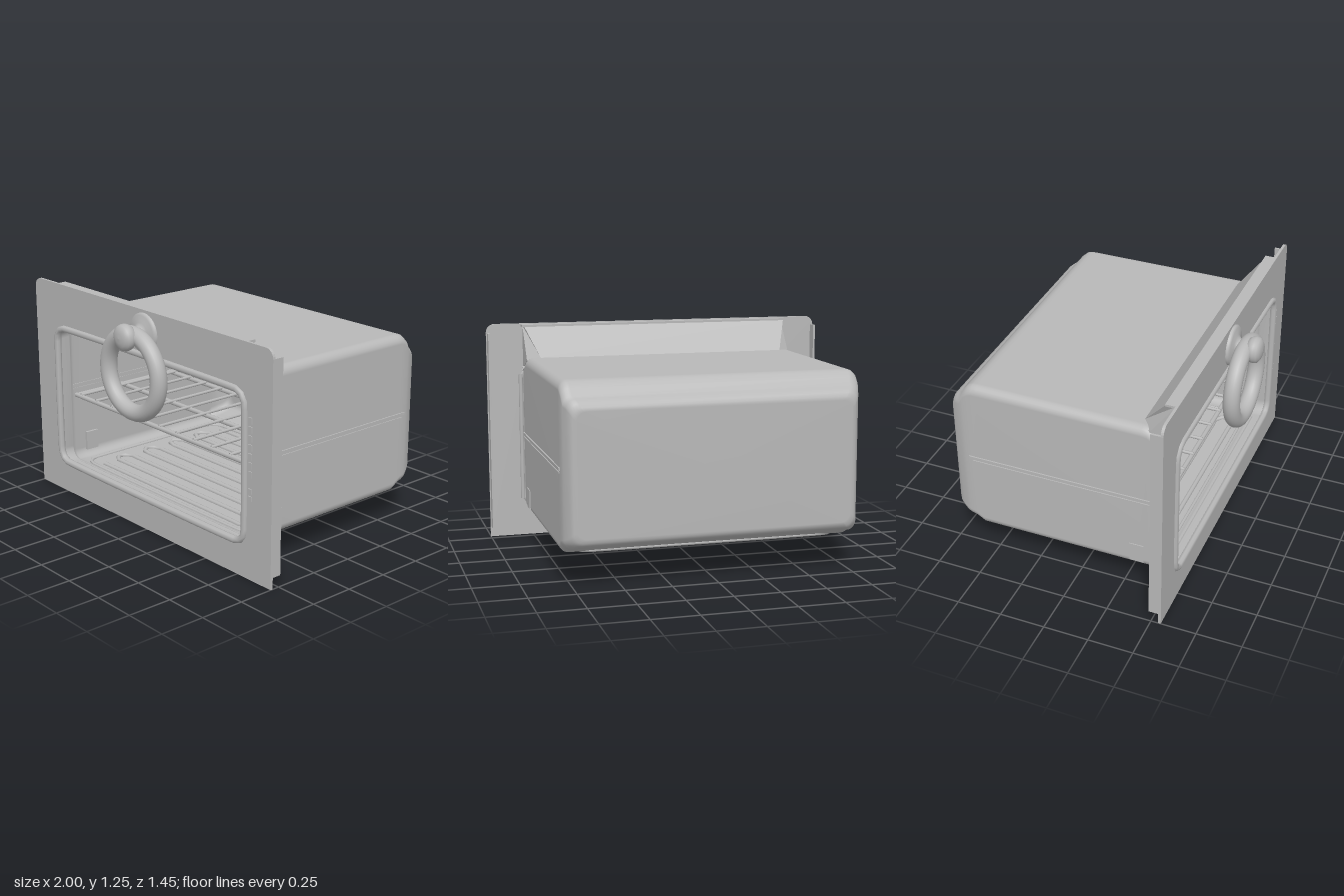
import * as THREE from 'three';

const steel = new THREE.MeshStandardMaterial({ color: 0xb8b8b8, side: THREE.DoubleSide });
steel.name = 'grey steel';

// Rounded rectangle outline, counter-clockwise
function outline(hw, y0, y1, r, seg = 6) {
  const pts = [];
  const corners = [[hw - r, y0 + r, -1], [hw - r, y1 - r, 0], [-hw + r, y1 - r, 1], [-hw + r, y0 + r, 2]];
  for (const [cx, cy, q] of corners)
    for (let k = 0; k <= seg; k++) {
      const a = (q + k / seg) * Math.PI / 2;
      pts.push(new THREE.Vector2(cx + r * Math.cos(a), cy + r * Math.sin(a)));
    }
  return pts;
}

// Skin through rounded-rectangle sections [z, halfWidth, bottom, top, radius], closed at the back
function loft(sections) {
  const pos = [], idx = [];
  let n = 0;
  for (const [z, ...s] of sections) {
    const ring = outline(...s);
    n = ring.length;
    ring.forEach(p => pos.push(p.x, p.y, z));
  }
  const last = sections.length - 1;
  for (let i = 0; i < last; i++)
    for (let j = 0; j < n; j++) {
      const a = i * n + j, b = i * n + (j + 1) % n;
      idx.push(a, a + n, b, b, a + n, b + n);
    }
  const [z, , y0, y1] = sections[last];
  pos.push(0, (y0 + y1) / 2, z);
  for (let j = 0; j < n; j++) idx.push(last * n + j, pos.length / 3 - 1, last * n + (j + 1) % n);
  const g = new THREE.BufferGeometry();
  g.setAttribute('position', new THREE.Float32BufferAttribute(pos, 3));
  g.setIndex(idx);
  g.computeVertexNormals();
  return g;
}

export function createModel() {
  const model = new THREE.Group();
  model.name = 'builtInOven';
  const add = (name, geo, x = 0, y = 0, z = 0, parent = model) => {
    const m = new THREE.Mesh(geo, steel);
    m.name = name;
    m.position.set(x, y, z);
    parent.add(m);
    return m;
  };
  const box = (name, w, h, d, x, y, z, parent) => add(name, new THREE.BoxGeometry(w, h, d), x, y, z, parent);
  const rod = (name, a, b, r, parent) => add(name, new THREE.TubeGeometry(
    new THREE.LineCurve3(new THREE.Vector3(...a), new THREE.Vector3(...b)), 1, r, 8), 0, 0, 0, parent);
  const tube = (name, pts, r, closed, parent) => add(name, new THREE.TubeGeometry(
    new THREE.CatmullRomCurve3(pts, closed, 'centripetal'), pts.length * 4, r, 8, closed), 0, 0, 0, parent);

  // Thin face plate with a rounded opening
  const plate = new THREE.Shape([new THREE.Vector2(-1, 0), new THREE.Vector2(1, 0),
    ...outline(1, 0, 1.25, 0.05).slice(7, 21), new THREE.Vector2(-1, 0)]);
  plate.holes.push(new THREE.Path(outline(0.8, 0.185, 0.99, 0.07)));
  add('facePlate', new THREE.ExtrudeGeometry(plate, { depth: 0.015, bevelEnabled: false }), 0, 0, 0.54);
  for (const s of [-1, 1]) box('plateSideReturn', 0.012, 1.14, 0.06, s * 0.99, 0.63, 0.515);
  box('plateTopReturn', 1.6, 0.012, 0.06, 0, 1.24, 0.515);

  // Rounded bead around the opening
  const bead = outline(0.8, 0.185, 0.995, 0.07).map(p => new THREE.Vector3(p.x, p.y, 0.552));
  tube('openingBead', bead, 0.02, true);

  // Oven cavity: neck, box and stepped back
  add('cavity', loft([
    [0.56, 0.79, 0.19, 0.99, 0.07], [0.48, 0.79, 0.185, 0.995, 0.07], [0.47, 0.8, 0.18, 1.0, 0.06],
    [0.45, 0.803, 0.172, 1.03, 0.05], [0.39, 0.803, 0.17, 1.065, 0.05], [0.36, 0.803, 0.17, 1.07, 0.05],
    [-0.56, 0.803, 0.17, 1.07, 0.05], [-0.585, 0.803, 0.185, 1.07, 0.05], [-0.61, 0.803, 0.2, 1.062, 0.05],
    [-0.64, 0.8, 0.205, 1.035, 0.05], [-0.66, 0.795, 0.21, 0.995, 0.05], [-0.685, 0.783, 0.22, 0.985, 0.05],
    [-0.71, 0.77, 0.235, 0.965, 0.05], [-0.722, 0.755, 0.25, 0.945, 0.05], [-0.726, 0.735, 0.27, 0.925, 0.05],
  ]));

  // Sloping hood behind the top of the plate, narrowed towards its crest
  const hoodShape = new THREE.Shape([[0.54, 1.24], [0.49, 1.24], [0.35, 1.07], [0.4, 1.05], [0.54, 0.99]]
    .map(p => new THREE.Vector2(...p)));
  const hood = new THREE.ExtrudeGeometry(hoodShape, { depth: 1.58, bevelEnabled: false });
  hood.rotateY(-Math.PI / 2).translate(0.79, 0, 0);
  const hp = hood.attributes.position;
  for (let i = 0; i < hp.count; i++) {
    const z = hp.getZ(i);
    if (z < 0.38) hp.setX(i, hp.getX(i) * 0.91);
  }
  hood.computeVertexNormals();
  add('hood', hood);

  // Pressed side ledges, flange strips and the fixing bracket
  for (const s of [-1, 1]) {
    box('sideLedge', 0.012, 0.014, 1.08, s * 0.804, 0.62, -0.08);
    box('sideLedgeLip', 0.008, 0.008, 1.06, s * 0.804, 0.598, -0.07);
    rod('sideFlange', [s * 0.812, 0.23, 0.5], [s * 0.812, 0.96, 0.5], 0.012);
    box('sideBracket', 0.02, 0.11, 0.08, s * 0.798, 0.26, 0.34);
  }
  rod('lowerFlange', [-0.7, 0.172, 0.5], [0.7, 0.172, 0.5], 0.018);
  rod('upperFlange', [-0.8, 0.995, 0.5], [0.8, 0.995, 0.5], 0.012);

  // Wire shelf
  const shelf = new THREE.Group();
  shelf.name = 'wireShelf';
  model.add(shelf);
  for (const z of [0.45, 0.12, -0.25, -0.6]) rod('crossWire', [-0.78, 0.568, z], [0.78, 0.568, z], 0.014, shelf);
  for (const s of [-1, 1]) rod('sideWire', [s * 0.775, 0.568, 0.45], [s * 0.775, 0.568, -0.6], 0.012, shelf);
  for (let i = 0; i < 11; i++) {
    const x = -0.72 + i * 0.145;
    rod('longWire', [x, 0.582, 0.46], [x, 0.582, -0.62], 0.009, shelf);
  }

  // Winding heating element set into the floor
  const coil = [], passes = 10, step = 0.1;
  for (let i = 0; i < passes; i++) {
    const s = i % 2 ? -1 : 1, z = 0.39 - i * step;
    for (const x of [-0.6, -0.55, 0, 0.55, 0.6]) coil.push(new THREE.Vector3(x * s, 0.172, z));
    if (i < passes - 1) coil.push(new THREE.Vector3(0.65 * s, 0.172, z - step / 2));
  }
  tube('heatingElement', coil, 0.014, false);
  const tray = outline(0.72, -0.56, 0.44, 0.08).map(p => new THREE.Vector3(p.x, 0.172, p.y));
  tube('floorBead', tray, 0.01, true);

  // Vent slots and indicator on the face
  for (let i = 0; i < 7; i++) box('ventSlot', 0.026, 0.032, 0.008, 0.845, 0.575 + i * 0.047, 0.556);
  for (const y of [0.445, 0.485]) box('indicator', 0.026, 0.026, 0.008, 0.845, y, 0.556);

  // Ring handle hanging from a round knob
  const handle = new THREE.Group();
  handle.name = 'ringHandle';
  handle.position.x = 0.012;
  model.add(handle);
  add('ring', new THREE.TorusGeometry(0.215, 0.046, 20, 64), 0, 0.918, 0.634, handle);
  const knob = [[0.11, 0.55], [0.11, 0.565], [0.1, 0.577], [0.06, 0.582], [0.04, 0.6], [0.04, 0.64], [0.058, 0.65],
    [0.07, 0.667], [0.073, 0.687], [0.067, 0.706], [0.048, 0.719], [0.025, 0.724], [0, 0.726]];
  add('knob', new THREE.LatheGeometry(knob.map(p => new THREE.Vector2(...p)), 40).rotateX(Math.PI / 2),
    0, 1.125, 0, handle);
  return model;
}
